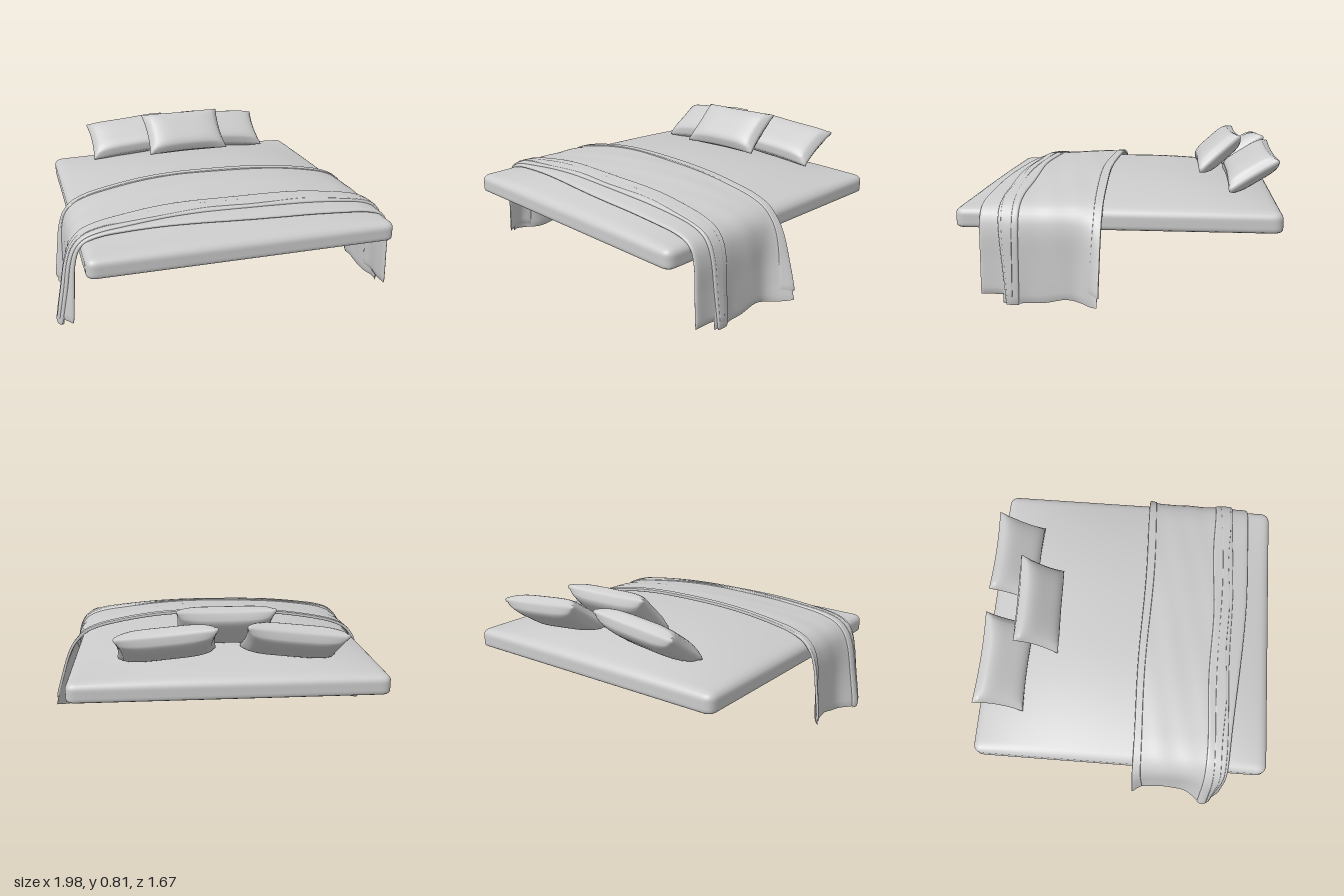
import * as THREE from 'three';
import { mergeVertices } from 'three/addons/utils/BufferGeometryUtils.js';

const material = new THREE.MeshStandardMaterial({ color: 0xcccccc, side: THREE.DoubleSide });
const CX = -0.02, HX = 0.83, HZ = 0.835, BASE = 0.38, EDGE = 0.49, DOME = 0.11;
const bump = (t, centre, width) => Math.exp(-(((t - centre) / width) ** 2));

// Height of the domed mattress top, x measured from the mattress centre
function topHeight(x, z) {
  const f = (t) => 1 - Math.min(1, Math.abs(t)) ** 2.5;
  return EDGE + DOME * f(x / HX) * f(z / HZ);
}

function smooth(geometry) {
  geometry.deleteAttribute('uv');
  geometry.deleteAttribute('normal');
  const merged = mergeVertices(geometry, 1e-5);
  merged.computeVertexNormals();
  return merged;
}

function addMesh(group, geometry, name) {
  const mesh = new THREE.Mesh(geometry, material);
  mesh.name = name;
  group.add(mesh);
  return mesh;
}

// Rounded shell with a domed top and an open underside
function mattressGeometry() {
  const geo = new THREE.BoxGeometry(2, 2, 2, 48, 10, 48);
  const under = geo.groups[3];
  geo.setIndex([...geo.index.array].filter((_, i) => i < under.start || i >= under.start + under.count));
  geo.clearGroups();
  const p = geo.attributes.position;
  const half = new THREE.Vector3(HX, (EDGE - BASE) / 2, HZ);
  const v = new THREE.Vector3(), inner = new THREE.Vector3();
  const crowd = (t) => Math.sign(t) * (1 - (1 - Math.abs(t)) ** 1.7);
  for (let i = 0; i < p.count; i++) {
    v.fromBufferAttribute(p, i);
    v.set(crowd(v.x), v.y, crowd(v.z)).multiply(half);
    const radius = new THREE.Vector3(0.05, v.y < 0 ? 0.02 : 0.035, 0.05);
    const limit = half.clone().sub(radius);
    inner.copy(v).clamp(limit.clone().negate(), limit);
    v.sub(inner).divide(radius).normalize().multiply(radius).add(inner);
    const rise = Math.max(0, v.y / half.y);
    p.setXYZ(i, v.x + CX, v.y + (EDGE + BASE) / 2 + rise * (topHeight(v.x, v.z) - EDGE), v.z);
  }
  return smooth(geo);
}

// Half path of the cloth: over the top, round the edge, down the side
const halfPath = new THREE.CatmullRomCurve3(
  [[0], [0.2], [0.4], [0.6], [0.72], [0.795, 0.489], [0.83, 0.45], [0.849, 0.38], [0.856, 0.2], [0.862, 0]]
    .map(([x, y]) => new THREE.Vector3(x, y ?? topHeight(x, 0), 0)));

// Sideways swing of the hanging cloth at each end
function flare(side, z, y) {
  const d = Math.max(0, (0.46 - y) / 0.46) ** 0.8;
  return d * (side > 0
    ? 0.135 * bump(z, 0.07, 0.07) + 0.015 * bump(z, 0.52, 0.06)
    : 0.05 * bump(z, 0.07, 0.05) + 0.08 * bump(z, 0.52, 0.08));
}

// A soft closed strip of cloth laid across the mattress
function clothGeometry({ back, front, lift, thick, bottom, ripple = 0 }) {
  const along = 120, across = 28, ring = across * 2;
  const pos = [], index = [];
  for (let i = 0; i <= along; i++) {
    const s = (i / along) * 2 - 1, side = s < 0 ? -1 : 1, u = Math.abs(s);
    const c = halfPath.getPointAt(u), t = halfPath.getTangentAt(u);
    const endTaper = Math.sqrt(Math.max(0, 1 - u ** 80));
    const z0 = back(side * c.x, c.y), z1 = front(side * c.x, c.y);
    for (let j = 0; j < ring; j++) {
      const a = (j / ring) * Math.PI * 2;
      const f = (1 - Math.cos(a)) / 2, z = z0 + (z1 - z0) * f;
      const h = (thick / 2) * Math.sqrt(Math.max(0, 1 - Math.abs(2 * f - 1) ** 14)) * (Math.sin(a) >= 0 ? 1 : -1);
      const wave = ripple * Math.sin(z * 34 + s * 5) * Math.sin(s * 7 + z * 9);
      const n = lift + wave + h * endTaper;
      let y = c.y + topHeight(c.x, z) - topHeight(c.x, 0);
      if (y < BASE) {
        const low = bottom(side, z);
        y = low + y * (BASE - low) / BASE;
      }
      pos.push(CX + side * (c.x - t.y * n + flare(side, z, y)), y + t.x * n, z);
    }
  }
  for (let i = 0; i < along; i++) {
    for (let j = 0; j < ring; j++) {
      const a = i * ring + j, b = i * ring + (j + 1) % ring;
      index.push(a, b, a + ring, b, b + ring, a + ring);
    }
  }
  const geo = new THREE.BufferGeometry();
  geo.setAttribute('position', new THREE.Float32BufferAttribute(pos, 3));
  geo.setIndex(index);
  geo.computeVertexNormals();
  return geo;
}

// Stuffed cushion with pulled-in edges and blunt corners
function pillowGeometry(width, depth, height) {
  const geo = new THREE.BoxGeometry(2, 2, 2, 28, 2, 24);
  const p = geo.attributes.position;
  for (let i = 0; i < p.count; i++) {
    const u = p.getX(i), v = p.getZ(i), s = p.getY(i);
    const puff = ((1 - u ** 4) * (1 - v ** 4)) ** 0.5;
    p.setXYZ(i,
      (width / 2) * u * (1 - 0.05 * (1 - v * v)) + (1 - Math.abs(s)) * 0.006 * Math.trunc(u),
      s * (0.012 + (height / 2 - 0.012) * puff),
      (depth / 2) * v * (1 - 0.07 * (1 - u * u)) + (1 - Math.abs(s)) * 0.006 * Math.trunc(v));
  }
  return smooth(geo);
}

export function createModel() {
  const model = new THREE.Group();
  model.name = 'bed';
  addMesh(model, mattressGeometry(), 'mattress');

  // Layered throw blanket
  const blanket = new THREE.Group();
  blanket.name = 'throwBlanket';
  model.add(blanket);
  const hang = (y) => Math.max(0, 0.45 - y);
  const layers = {
    blanketUnderlayer: {
      back: () => 0.45,
      front: (x) => 0.695 - 0.08 * THREE.MathUtils.smoothstep(-x, -0.3, 0.95),
      lift: 0.013, thick: 0.022, bottom: (side) => (side > 0 ? 0.05 : 0.035),
    },
    blanketMain: {
      back: (x, y) => 0.08 + 0.005 * Math.sin(x * 6) + 0.01 * hang(y),
      front: (x) => 0.57 + 0.006 * Math.sin(x * 9),
      lift: 0.02, thick: 0.016, ripple: 0.002,
      bottom: (side, z) => 0.008 + 0.022 * bump(z, 0.25, 0.08) + (side > 0 ? 0.03 : 0.02) * bump(z, 0.07, 0.06),
    },
    blanketFold: {
      back: (x) => 0.485 + 0.007 * Math.sin(x * 8 + 1),
      front: (x, y) => 0.6 + 0.005 * Math.sin(x * 7) - 0.09 * hang(y),
      lift: 0.027, thick: 0.018, bottom: () => 0.003, ripple: 0.002,
    },
    blanketFoldRidge: {
      back: (x) => 0.53 + 0.008 * Math.sin(x * 5),
      front: (x, y) => 0.58 + 0.006 * Math.sin(x * 11) - 0.06 * hang(y),
      lift: 0.031, thick: 0.016, bottom: () => 0.03,
    },
    blanketHem: {
      back: (x, y) => 0.072 + 0.005 * Math.sin(x * 6) + 0.01 * hang(y),
      front: (x, y) => 0.118 + 0.008 * Math.sin(x * 5) + 0.04 * hang(y),
      lift: 0.024, thick: 0.018, bottom: (side) => (side > 0 ? 0.085 : 0.05),
    },
  };
  for (const [name, layer] of Object.entries(layers)) addMesh(blanket, clothGeometry(layer), name);

  // Two pillows at the head and one leaning in front
  const pillows = [
    ['rightPillow', [-0.355, 0.647, -0.69], [0.57, 0.03, 0.1]],
    ['leftPillow', [0.3, 0.648, -0.695], [0.57, -0.02, -0.08]],
    ['frontPillow', [-0.01, 0.695, -0.525], [0.74, 0.03, -0.02]],
  ];
  for (const [name, position, rotation] of pillows) {
    const pillow = addMesh(model, pillowGeometry(0.51, 0.295, 0.13), name);
    pillow.position.set(...position);
    pillow.rotation.set(...rotation);
  }
  return model;
}
